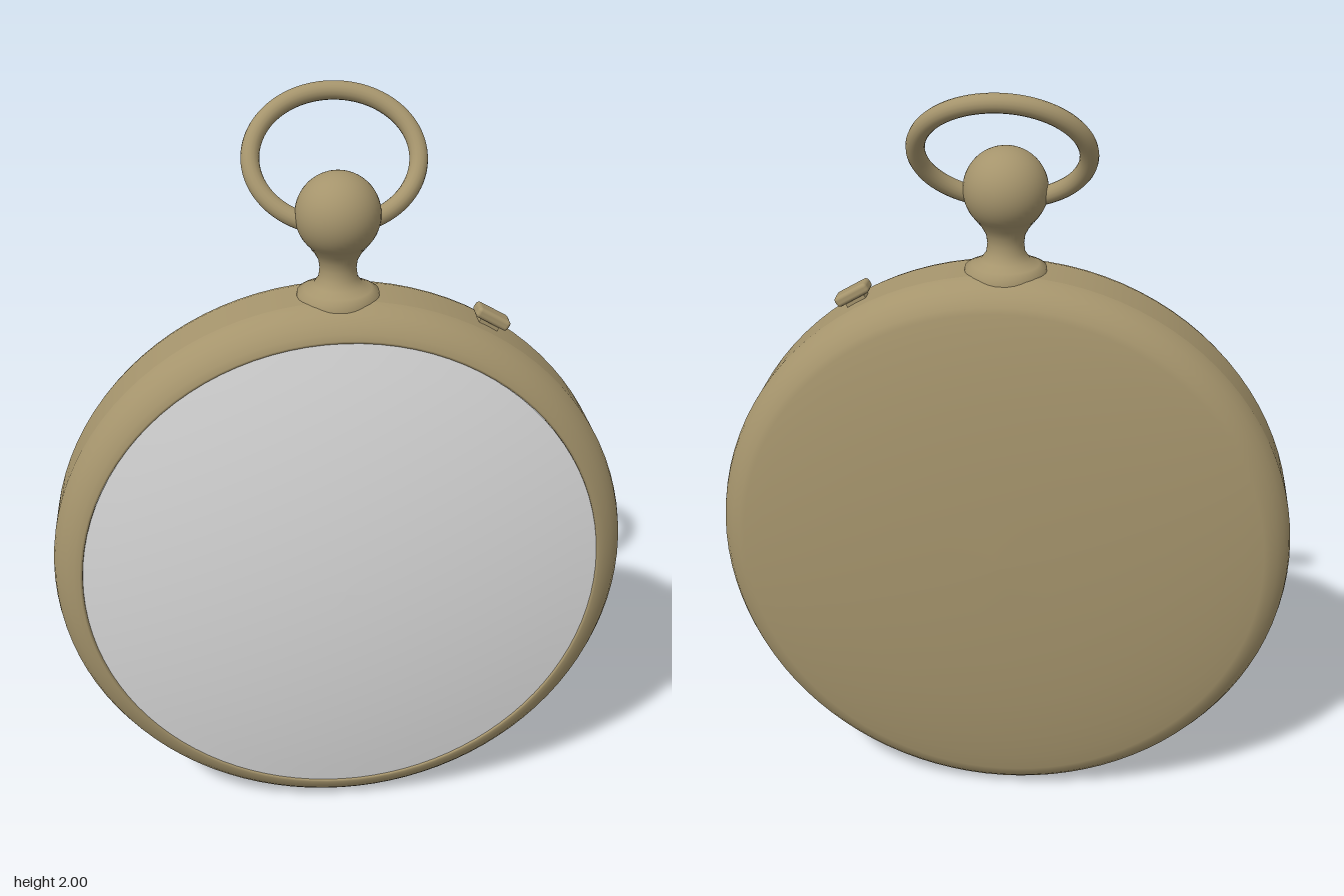
import * as THREE from 'three';
import { RoundedBoxGeometry } from 'three/addons/geometries/RoundedBoxGeometry.js';

const brass = new THREE.MeshStandardMaterial({ name: 'brass', color: 0xa5946c });
const glass = new THREE.MeshStandardMaterial({ name: 'glass', color: 0xdcdcdc });

const CENTER_Y = 0.763;
const RADIUS = 0.762;

function part(parent, name, geometry, material = brass) {
  const mesh = new THREE.Mesh(geometry, material);
  mesh.name = name;
  parent.add(mesh);
  return mesh;
}

// Profiles are [radius, height] pairs, listed from low to high
function lathe(profile, segments = 96) {
  return new THREE.LatheGeometry(profile.map(([r, h]) => new THREE.Vector2(r, h)), segments);
}

// Shallow dome from rim radius to the centre
function dome(rim, low, high, steps = 12) {
  return Array.from({ length: steps + 1 }, (_, i) => {
    const r = rim * (1 - i / steps);
    return [r, high - (high - low) * (r / rim) ** 2];
  });
}

export function createModel() {
  const model = new THREE.Group();
  model.name = 'pocketWatch';

  // Round case, turned so that its axis faces the front
  const watchCase = new THREE.Group();
  watchCase.name = 'case';
  watchCase.position.y = CENTER_Y;
  watchCase.rotation.x = Math.PI / 2;
  model.add(watchCase);

  part(watchCase, 'middleBand', lathe([[RADIUS, -0.064], [RADIUS, 0.064]]));

  const shoulder = [[0.762, 0.064], [0.757, 0.085], [0.744, 0.108], [0.726, 0.127], [0.706, 0.14], [0.69, 0.146]];
  part(watchCase, 'bezel', lathe([...shoulder, [0.684, 0.145], [0.682, 0.132]]));
  part(watchCase, 'crystal', lathe(dome(0.683, 0.142, 0.203)), glass);

  const back = [...shoulder, [0.64, 0.156], [0.56, 0.17], [0.44, 0.184], [0.3, 0.194], [0.15, 0.2], [0, 0.202]];
  part(watchCase, 'backCover', lathe(back.map(([r, h]) => [r, -h]).reverse()));

  // Flared neck and ball on top
  part(model, 'neck', lathe([
    [0.105, 1.5], [0.103, 1.527], [0.085, 1.535], [0.062, 1.547], [0.049, 1.566],
    [0.046, 1.59], [0.049, 1.612], [0.06, 1.632], [0.075, 1.65],
  ], 40));
  part(model, 'ball', new THREE.SphereGeometry(0.106, 40, 28)).position.y = 1.726;

  // Oval bow, leaning towards the back
  const bowPoints = Array.from({ length: 32 }, (_, i) => {
    const a = (i / 32) * Math.PI * 2;
    const lift = 0.5 + 0.5 * Math.sin(a);
    return new THREE.Vector3(0.207 * Math.cos(a), 1.698 + 0.282 * lift, 0.008 - 0.192 * lift);
  });
  const bowCurve = new THREE.CatmullRomCurve3(bowPoints, true);
  part(model, 'bow', new THREE.TubeGeometry(bowCurve, 96, 0.023, 16, true));

  // Small release button on the upper left of the rim
  const button = new THREE.Group();
  button.name = 'releaseButton';
  button.position.set(0, CENTER_Y, 0);
  button.rotation.z = -Math.PI / 6;
  model.add(button);
  part(button, 'buttonStem', new THREE.BoxGeometry(0.055, 0.05, 0.038)).position.y = 0.76;
  part(button, 'buttonCap', new RoundedBoxGeometry(0.096, 0.028, 0.056, 3, 0.01)).position.y = 0.785;

  return model;
}
